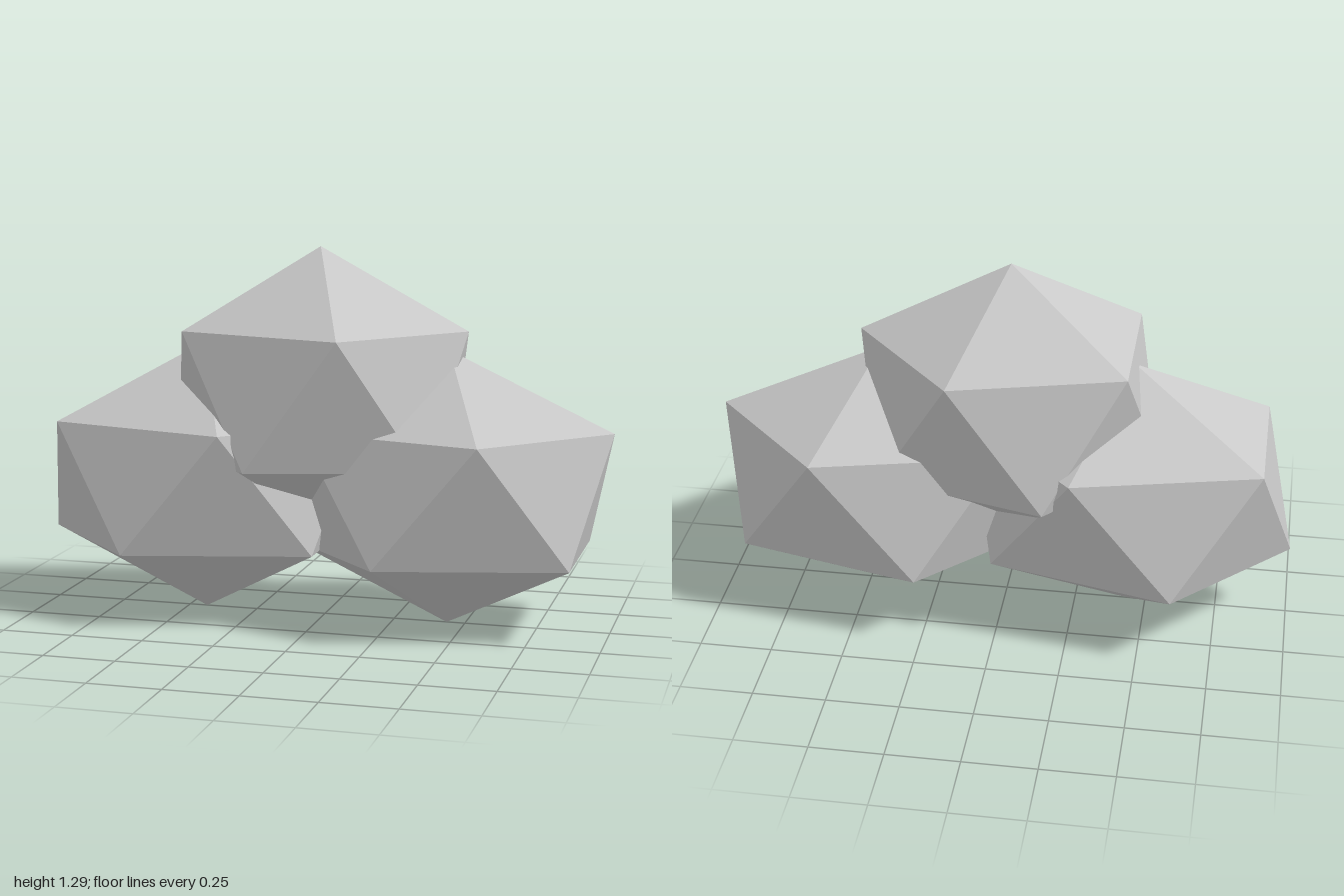
import * as THREE from 'three';

export function createModel() {
  const model = new THREE.Group();
  model.name = 'rockPile';
  const stone = new THREE.MeshStandardMaterial({ color: 0xc8c8c8, flatShading: true });
  stone.name = 'stoneGrey';

  // Twenty-sided stone standing on one corner, upper ring pointing to +x
  const shape = new THREE.IcosahedronGeometry(1, 0);
  shape.rotateX(-Math.atan((1 + Math.sqrt(5)) / 2));
  shape.rotateY(Math.PI / 2);

  function addStone(name, center, radii) {
    const geometry = shape.clone();
    geometry.scale(...radii);
    geometry.computeVertexNormals();
    const mesh = new THREE.Mesh(geometry, stone);
    mesh.name = name;
    mesh.position.set(...center);
    model.add(mesh);
  }

  // Two matching base stones and one resting on top
  addStone('rightBaseStone', [-0.436, 0.474, 0], [0.631, 0.474, 0.472]);
  addStone('leftBaseStone', [0.436, 0.474, 0], [0.631, 0.474, 0.472]);
  addStone('topStone', [-0.015, 0.79, 0], [0.578, 0.5, 0.472]);

  return model;
}
